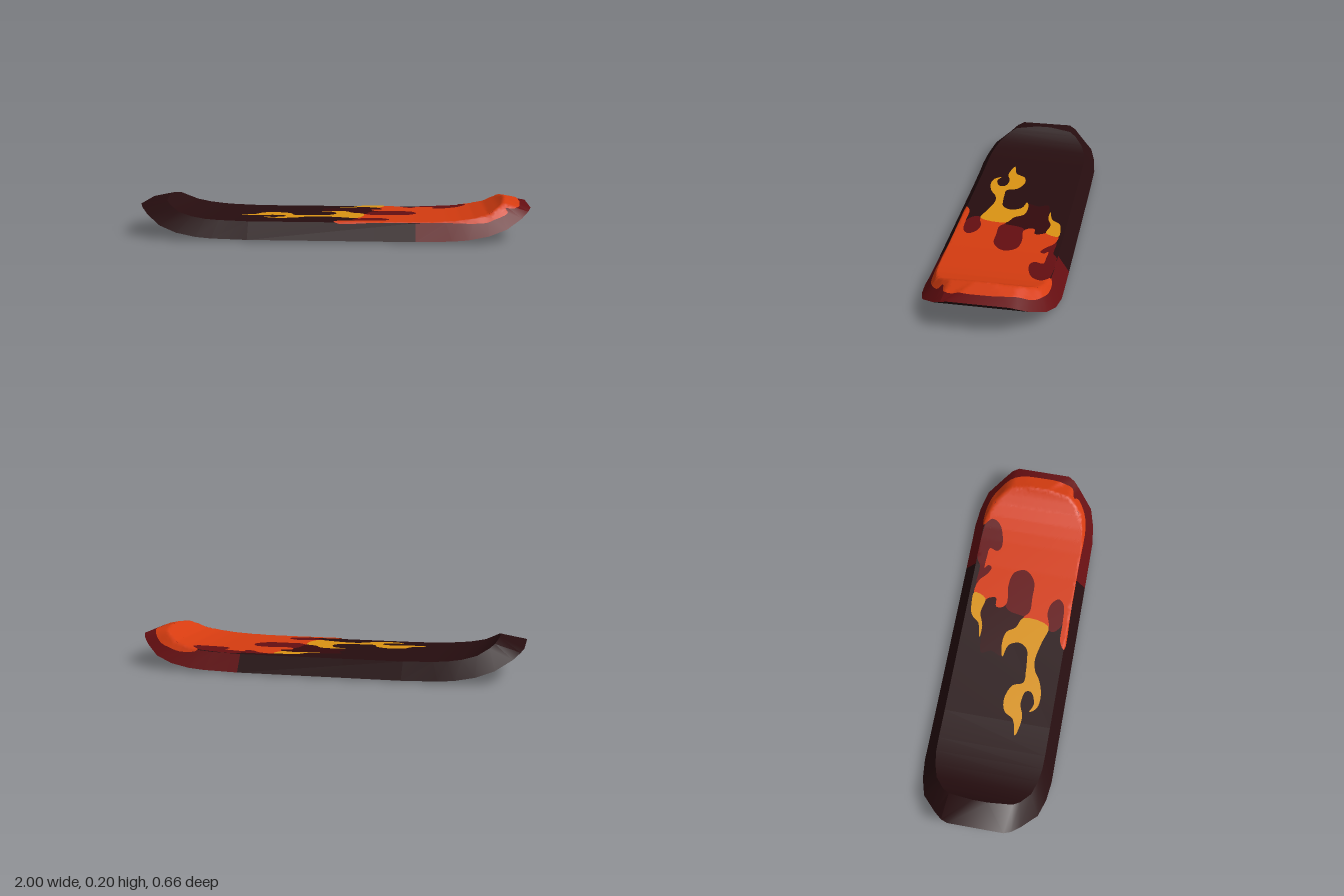
import * as THREE from 'three';
import { mergeVertices, toCreasedNormals } from 'three/addons/utils/BufferGeometryUtils.js';

const mat = (name, color) => new THREE.MeshStandardMaterial({ name, color, side: THREE.DoubleSide });

export function createModel() {
  const group = new THREE.Group();
  const dark = mat('dark brown', 0x260d0f);
  const maroon = mat('maroon', 0x330a0d);
  const red = mat('deep red', 0x650e11);
  const orange = mat('flame orange', 0xd63c10);
  const yellow = mat('flame yellow', 0xdb9413);
  const bone = mat('bone', 0xd2c7a4);

  // Half-length stations [x, half width, y] for the lower edge and the inset upper edge
  const lower = [[0.42, 0.33, 0.015], [0.6, 0.33, 0.02], [0.68, 0.33, 0.027], [0.78, 0.318, 0.045],
    [0.87, 0.29, 0.076], [0.95, 0.215, 0.12], [0.985, 0.175, 0.15], [1, 0.14, 0.165]];
  const upper = [[0.42, 0.275, 0.1], [0.57, 0.275, 0.105], [0.64, 0.273, 0.11], [0.71, 0.262, 0.12],
    [0.78, 0.24, 0.138], [0.835, 0.195, 0.169], [0.858, 0.16, 0.186], [0.872, 0.04, 0.2]];
  const mirrored = (half) => [...half.map(([x, w, y]) => [-x, w, y]).reverse(), ...half];
  const B = mirrored(lower), T = mirrored(upper);
  const pt = ([x, w, y], s) => [x, y, w * s];

  function meshFromQuads(name, quads, material) {
    const pos = [];
    for (const [a, b, c, d] of quads) pos.push(...a, ...b, ...c, ...a, ...c, ...d);
    const geo = new THREE.BufferGeometry();
    geo.setAttribute('position', new THREE.Float32BufferAttribute(pos, 3));
    const mesh = new THREE.Mesh(toCreasedNormals(geo, 0.5), material);
    mesh.name = name;
    group.add(mesh);
    return mesh;
  }

  // Board shell: deck, underside and bevelled rail
  const deck = [], base = [], darkRail = [], redRail = [];
  const last = B.length - 1;
  for (let i = 0; i < last; i++) {
    const j = i + 1;
    deck.push([pt(T[i], 1), pt(T[j], 1), pt(T[j], -1), pt(T[i], -1)]);
    base.push([pt(B[i], -1), pt(B[j], -1), pt(B[j], 1), pt(B[i], 1)]);
    (B[i][0] > 0.4 ? redRail : darkRail).push(
      [pt(B[i], 1), pt(B[j], 1), pt(T[j], 1), pt(T[i], 1)],
      [pt(B[j], -1), pt(B[i], -1), pt(T[i], -1), pt(T[j], -1)]);
  }
  redRail.push([pt(B[last], 1), pt(B[last], -1), pt(T[last], -1), pt(T[last], 1)]);
  darkRail.push([pt(B[0], -1), pt(B[0], 1), pt(T[0], 1), pt(T[0], -1)]);
  const shell = [
    meshFromQuads('deck', deck, dark),
    meshFromQuads('underside', base, dark),
    meshFromQuads('rail', darkRail, dark),
    meshFromQuads('redRail', redRail, red),
  ];

  // Painted plate: an outline in (x, z) draped over the shell, on top (side 1) or below (side -1)
  const ray = new THREE.Raycaster();
  function drape(x, z, side, lift) {
    ray.set(new THREE.Vector3(x, side, z), new THREE.Vector3(0, -side, 0));
    const hit = ray.intersectObjects(shell, false)[0];
    return (hit ? hit.point.y : side > 0 ? 0.1 : 0.015) + side * lift;
  }
  const smooth = (pts) => new THREE.CatmullRomCurve3(
    pts.map(([x, z]) => new THREE.Vector3(x, -z, 0)), true, 'centripetal')
    .getPoints(pts.length * 4).slice(0, -1).map((p) => new THREE.Vector2(p.x, p.y));
  function plate(name, pts, material, side, lift, holes = []) {
    const shape = new THREE.Shape(smooth(pts));
    shape.holes = holes.map((h) => new THREE.Path(smooth(h)));
    const flat = new THREE.ShapeGeometry(shape).toNonIndexed().attributes.position;
    const out = [];
    // Halve the longest edge until the pieces are small enough to follow the curve
    const split = (a, b, c) => {
      const ab = a.distanceTo(b), bc = b.distanceTo(c), ca = c.distanceTo(a);
      const longest = Math.max(ab, bc, ca);
      if (longest < 0.022) {
        for (const p of [a, b, c]) out.push(p.x, drape(p.x, -p.y, side, lift), -p.y);
        return;
      }
      const [p, q, r] = longest === ab ? [a, b, c] : longest === bc ? [b, c, a] : [c, a, b];
      const mid = p.clone().add(q).multiplyScalar(0.5);
      split(p, mid, r);
      split(mid, q, r);
    };
    const v = (i) => new THREE.Vector2(flat.getX(i), flat.getY(i));
    for (let i = 0; i < flat.count; i += 3) {
      if (side > 0) split(v(i), v(i + 1), v(i + 2));
      else split(v(i), v(i + 2), v(i + 1));
    }
    let geo = new THREE.BufferGeometry();
    geo.setAttribute('position', new THREE.Float32BufferAttribute(out, 3));
    geo = mergeVertices(geo, 1e-5);
    geo.computeVertexNormals();
    const mesh = new THREE.Mesh(geo, material);
    mesh.name = name;
    group.add(mesh);
  }
  const oval = (cx, cz, rx, rz, n = 12) => Array.from({ length: n }, (_, i) => {
    const a = (i / n) * Math.PI * 2;
    return [cx + Math.cos(a) * rx, cz + Math.sin(a) * rz];
  });

  // Deck flames
  plate('deckFlameShadow', [[-0.08, -0.04], [-0.06, -0.1], [-0.08, -0.15], [0.02, -0.17], [0.1, -0.2],
    [0.22, -0.2], [0.24, 0.03], [0.1, 0.03], [0.04, -0.03]], maroon, 1, 0.002);
  plate('deckFlameBack', [[0.1, 0.2], [0.12, 0.16], [0.16, 0.04], [0.18, -0.05], [0.22, -0.08], [0.28, -0.1],
    [0.24, -0.22], [0.3, -0.25], [0.41, -0.25], [0.45, -0.272], [0.6, -0.272], [0.7, -0.26], [0.78, -0.237],
    [0.83, -0.19], [0.85, 0], [0.83, 0.19], [0.78, 0.237], [0.7, 0.26], [0.6, 0.27], [0.3, 0.265], [0.14, 0.24]],
  red, 1, 0.003);
  plate('deckFlameBody', [[0.01, 0.277], [0.05, 0.25], [0.16, 0.245], [0.26, 0.235], [0.29, 0.205], [0.26, 0.17],
    [0.2, 0.157], [0.12, 0.175], [0.11, 0.11], [0.15, 0.035], [0.19, 0.062], [0.27, 0.062], [0.37, 0.055],
    [0.425, 0], [0.4, -0.06], [0.32, -0.077], [0.22, -0.067], [0.19, -0.09], [0.19, -0.12], [0.24, -0.13],
    [0.23, -0.17], [0.2, -0.2], [0.24, -0.25], [0.32, -0.24], [0.37, -0.2], [0.41, -0.185], [0.42, -0.205],
    [0.4, -0.222], [0.47, -0.222], [0.52, -0.215], [0.51, -0.175], [0.53, -0.155], [0.59, -0.157],
    [0.67, -0.19], [0.69, -0.235], [0.65, -0.275], [0.75, -0.28], [0.84, -0.25], [0.91, -0.19], [0.945, -0.11],
    [0.952, 0], [0.95, 0.08], [0.93, 0.17], [0.87, 0.19], [0.88, 0.21], [0.83, 0.25], [0.75, 0.277],
    [0.5, 0.278], [0.25, 0.278]], orange, 1, 0.006);
  plate('deckFlameTip', [[-0.495, 0.104], [-0.41, 0.08], [-0.375, 0.03], [-0.31, 0.015], [-0.23, 0.045],
    [-0.205, 0.098], [-0.14, 0.1], [-0.08, 0.095], [-0.02, 0.083], [0.008, 0.04], [-0.015, -0.015],
    [-0.085, -0.035], [-0.03, -0.05], [0.055, -0.04], [0.09, 0.005], [0.15, 0.035], [0.125, 0.175],
    [0.03, 0.155], [-0.07, 0.136], [-0.13, 0.147], [-0.185, 0.18], [-0.265, 0.2], [-0.33, 0.19],
    [-0.357, 0.155], [-0.31, 0.172], [-0.25, 0.148], [-0.25, 0.12], [-0.32, 0.104], [-0.39, 0.125]],
  yellow, 1, 0.0075);
  plate('deckSideFlameTip', [[0, -0.174], [0.08, -0.195], [0.12, -0.238], [0.19, -0.253], [0.25, -0.249],
    [0.225, -0.185], [0.14, -0.195], [0.07, -0.172]], yellow, 1, 0.0075);

  // Underside flames
  plate('baseFlameShadow', [[0, -0.2], [0.12, -0.25], [0.24, -0.22], [0.32, -0.12], [0.3, -0.02],
    [0.2, 0.04], [0.05, 0.05]], maroon, -1, 0.002);
  plate('baseFlameBody', [[-0.42, 0], [-0.4, -0.1], [-0.33, -0.19], [-0.22, -0.235], [-0.1, -0.23], [0, -0.19],
    [0.1, -0.17], [0.08, -0.11], [0.02, -0.06], [0.1, -0.03], [0.2, -0.03], [0.15, 0.09], [0.06, 0.11],
    [0, 0.16], [-0.09, 0.22], [-0.2, 0.24], [-0.32, 0.2], [-0.4, 0.12]], orange, -1, 0.004);
  plate('baseFlameTip', [[0.14, 0.1], [0.2, -0.04], [0.26, -0.07], [0.33, -0.05], [0.29, -0.02], [0.28, 0.03],
    [0.35, 0.06], [0.42, 0.04], [0.46, 0.09], [0.52, 0.13], [0.42, 0.115], [0.34, 0.12], [0.26, 0.1]],
  yellow, -1, 0.006);
  plate('baseSideFlameTip', [[0.08, -0.11], [0.09, -0.17], [0.17, -0.185], [0.25, -0.155], [0.18, -0.15],
    [0.14, -0.11]], yellow, -1, 0.006);

  // Skull emblem, crown towards +x, with open eyes and nose
  const zc = 0.015;
  const half = [[-0.06, 0.05], [-0.09, 0.11], [-0.16, 0.148], [-0.25, 0.148], [-0.31, 0.12], [-0.325, 0.08],
    [-0.35, 0.08]];
  plate('skull', [...half.map(([x, z]) => [x, zc + z]), ...half.map(([x, z]) => [x, zc - z]).reverse()],
    bone, -1, 0.006, [oval(-0.245, zc + 0.07, 0.036, 0.045), oval(-0.245, zc - 0.07, 0.036, 0.045),
      [[-0.275, zc], [-0.31, zc + 0.02], [-0.31, zc - 0.02]]]);
  for (let i = -2; i <= 2; i++) plate('tooth', oval(-0.375, zc + i * 0.034, 0.03, 0.014, 8), bone, -1, 0.0062);

  return group;
}
